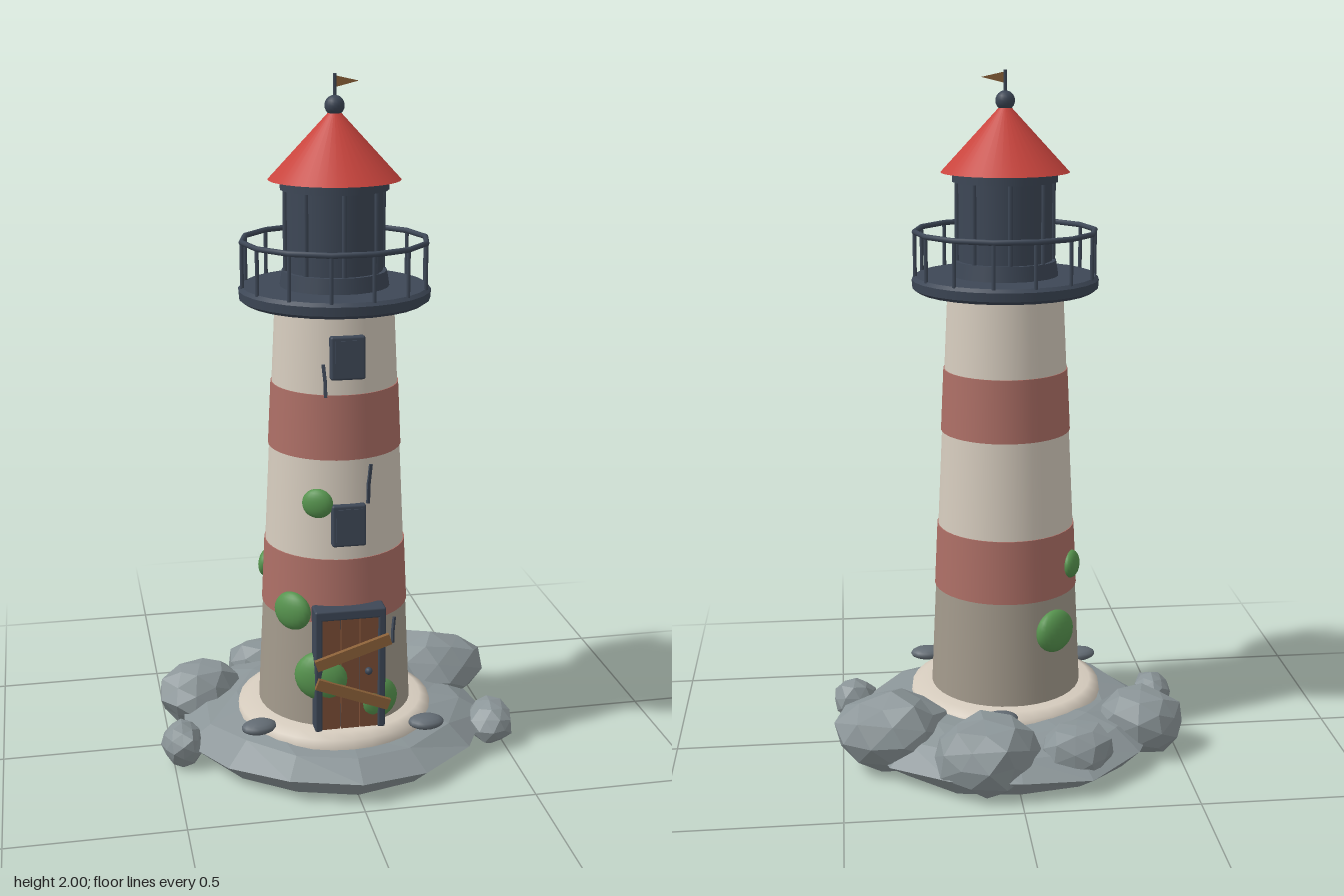
import * as THREE from 'three';
import { mergeVertices } from 'three/addons/utils/BufferGeometryUtils.js';
import { RoundedBoxGeometry } from 'three/addons/geometries/RoundedBoxGeometry.js';

const paint = (name, color, extra = {}) => {
  const m = new THREE.MeshStandardMaterial({ color, ...extra });
  m.name = name;
  return m;
};

export function createModel() {
  const mat = {
    cream: paint('cream plaster', 0xd6ccbe),
    base: paint('weathered plaster', 0xa39a8c),
    band: paint('faded red band', 0xad6f66),
    red: paint('roof red', 0xc9443d),
    navy: paint('dark iron', 0x3d4756),
    rock: paint('grey rock', 0x8b9598, { flatShading: true }),
    stone: paint('dark pebble', 0x626b73),
    green: paint('ivy green', 0x56934e),
    door: paint('door wood', 0x7a4d35),
    plank: paint('plank wood', 0x8a6038, { side: THREE.DoubleSide }),
  };
  const model = new THREE.Group();
  model.name = 'lighthouse';
  const tower = new THREE.Group();
  tower.name = 'tower';
  tower.position.set(-0.005, 0, 0.067);
  model.add(tower);

  const add = (parent, name, geo, material, x = 0, y = 0, z = 0) => {
    const m = new THREE.Mesh(geo, material);
    m.name = name;
    m.position.set(x, y, z);
    parent.add(m);
    return m;
  };
  const lathe = (pts, seg) =>
    new THREE.LatheGeometry(pts.map(p => new THREE.Vector2(p[0], p[1])), seg);
  const wallR = y => 0.235 - 0.048 * y;
  let seed = 7;
  const rand = () => (seed = (seed * 16807) % 2147483647) / 2147483647;

  // Island: faceted rings with uneven rims
  const rings = [[0.001, 0], [0.4, 0], [0.465, 0.06], [0.39, 0.11], [0.29, 0.135], [0.001, 0.14]];
  const island = lathe(rings, 14);
  const ip = island.attributes.position;
  for (let i = 0; i < ip.count; i++) {
    const ring = i % rings.length, k = Math.floor(i / rings.length) % 14;
    if (ring === 0 || ring === 5) continue;
    const s = 1 + 0.022 * Math.sin(k * 2.3 + ring * 0.7);
    ip.setXYZ(i, ip.getX(i) * s,
      ip.getY(i) + (ring > 1 ? 0.01 * Math.sin(k * 1.9 + ring) : 0), ip.getZ(i) * s);
  }
  add(model, 'island', island, mat.rock);

  // Boulders: x, z, half sizes in x and z, height
  const boulders = [
    [-0.39, -0.145, 0.135, 0.113, 0.195], [-0.17, -0.32, 0.115, 0.09, 0.18],
    [0.1, -0.34, 0.163, 0.133, 0.215], [0.355, -0.16, 0.17, 0.138, 0.225],
    [-0.475, 0.118, 0.062, 0.08, 0.13], [0.46, 0.155, 0.074, 0.085, 0.13],
  ];
  for (const [x, z, rx, rz, h] of boulders) {
    let g = new THREE.IcosahedronGeometry(1, 1);
    g.deleteAttribute('normal');
    g.deleteAttribute('uv');
    g = mergeVertices(g);
    const p = g.attributes.position;
    for (let i = 0; i < p.count; i++) {
      const s = 0.86 + 0.2 * rand();
      p.setXYZ(i, p.getX(i) * s, Math.max(p.getY(i) * s, -0.9), p.getZ(i) * s);
    }
    g.rotateY(rand() * 6);
    g.scale(rx, h * 0.53, rz);
    g.computeVertexNormals();
    add(model, 'boulder', g, mat.rock, x, h * 0.49, z);
  }

  // Flat pebbles
  for (const [x, z, a] of [[-0.26, 0.235, 0.2], [0.225, 0.295, 0], [0.04, -0.22, 0.1]]) {
    const m = add(model, 'pebble', new THREE.SphereGeometry(1, 14, 8), mat.stone, x, 0.155, z);
    m.scale.set(0.053, 0.02, 0.038);
    m.rotation.y = a;
  }

  // Sandy footing around the tower
  add(tower, 'footing',
    lathe([[0.292, 0.12], [0.288, 0.148], [0.26, 0.162], [0.2, 0.165]], 32), mat.cream);

  // Wall sections, bottom to top
  const walls = [
    ['lowerWall', 0.13, 0.48, mat.base, 0], ['lowerBand', 0.48, 0.67, mat.band, 0.003],
    ['middleWall', 0.67, 0.96, mat.cream, 0], ['upperBand', 0.96, 1.145, mat.band, 0.003],
    ['upperWall', 1.145, 1.4, mat.cream, 0],
  ];
  for (const [name, y0, y1, material, d] of walls)
    add(tower, name, new THREE.CylinderGeometry(wallR(y1) + d, wallR(y0) + d, y1 - y0, 40),
      material, 0, (y0 + y1) / 2);

  // Gallery deck and railing
  const n = 14;
  const deck = [[0.16, 1.37], [0.255, 1.375], [0.27, 1.385], [0.272, 1.41], [0.262, 1.42], [0.001, 1.42]];
  for (let i = 0; i < deck.length - 1; i++)
    add(tower, 'galleryDeck', lathe([deck[i], deck[i + 1]], 28), mat.navy);
  const rail = add(tower, 'handrail', new THREE.TorusGeometry(0.262, 0.008, 8, n), mat.navy, 0, 1.547);
  rail.rotation.x = Math.PI / 2;
  for (let i = 0; i < n; i++) {
    const a = (i / n) * Math.PI * 2;
    add(tower, 'railPost', new THREE.CylinderGeometry(0.0055, 0.0055, 0.13, 8), mat.navy,
      Math.cos(a) * 0.262, 1.482, Math.sin(a) * 0.262);
  }

  // Lantern room with rings and mullions
  add(tower, 'lanternGlass', new THREE.CylinderGeometry(0.136, 0.136, 0.3, 24), mat.navy, 0, 1.56);
  add(tower, 'lanternSill', new THREE.CylinderGeometry(0.148, 0.155, 0.045, 24), mat.navy, 0, 1.441);
  add(tower, 'lanternHead', new THREE.CylinderGeometry(0.152, 0.152, 0.025, 24), mat.navy, 0, 1.701);
  for (let i = 0; i < 8; i++) {
    const a = (i / 8) * Math.PI * 2;
    add(tower, 'mullion', new THREE.CylinderGeometry(0.007, 0.007, 0.27, 8), mat.navy,
      Math.cos(a) * 0.139, 1.57, Math.sin(a) * 0.139);
  }

  // Roof, finial and pennant
  add(tower, 'roof', new THREE.ConeGeometry(0.185, 0.2, 40), mat.red, 0, 1.815);
  add(tower, 'finialBall', new THREE.SphereGeometry(0.028, 18, 12), mat.navy, 0, 1.915);
  add(tower, 'flagPole', new THREE.CylinderGeometry(0.005, 0.005, 0.09, 8), mat.navy, 0, 1.955);
  const pennant = new THREE.Shape();
  pennant.moveTo(0, 1.995);
  pennant.lineTo(0.068, 1.98);
  pennant.lineTo(0, 1.963);
  add(tower, 'pennant', new THREE.ShapeGeometry(pennant), mat.plank);

  // Windows: frame and pane leaning with the wall
  for (const y of [0.772, 1.25]) {
    const w = new THREE.Group();
    w.name = 'window';
    w.position.set(0.002, y, wallR(y));
    w.rotation.x = -0.048;
    tower.add(w);
    add(w, 'windowFrame', new RoundedBoxGeometry(0.098, 0.122, 0.03, 2, 0.007), mat.navy);
    add(w, 'windowPane', new THREE.BoxGeometry(0.074, 0.098, 0.004), mat.navy, 0, 0, 0.016);
  }

  // Door with frame, boards and knob
  for (const s of [-1, 1])
    add(tower, 'doorJamb', new RoundedBoxGeometry(0.022, 0.37, 0.06, 2, 0.006), mat.navy, s * 0.092, 0.345, 0.217);
  add(tower, 'doorLintel', new RoundedBoxGeometry(0.206, 0.03, 0.06, 2, 0.006), mat.navy, 0, 0.518, 0.217);
  add(tower, 'doorBack', new THREE.BoxGeometry(0.17, 0.35, 0.04), mat.navy, 0, 0.335, 0.21);
  for (let i = -1; i <= 1; i++)
    add(tower, 'doorBoard', new THREE.BoxGeometry(0.052, 0.34, 0.012), mat.door, i * 0.055, 0.333, 0.234);
  add(tower, 'doorKnob', new THREE.SphereGeometry(0.011, 12, 8), mat.navy, 0.053, 0.34, 0.245);

  // Planks nailed across the door
  for (const [y, a] of [[0.408, 0.31], [0.278, -0.37]]) {
    const m = add(tower, 'crossPlank', new THREE.BoxGeometry(0.225, 0.032, 0.014), mat.plank, 0.005, y, 0.258);
    m.rotation.z = a;
  }

  // Ivy clumps and cracks sit on the wall at an angle from the front
  const onWall = (m, a, y, out) => {
    const r = wallR(y) + out;
    m.position.set(Math.sin(a) * r, y, Math.cos(a) * r);
    m.rotation.set(-0.048, a, 0, 'YXZ');
    return m;
  };
  const ivy = [
    [-0.43, 0.835, 0.045], [-0.78, 0.505, 0.06], [-0.36, 0.32, 0.078],
    [0.41, 0.235, 0.063], [-2.52, 0.38, 0.068], [-2.06, 0.56, 0.044],
  ];
  for (const [a, y, r] of ivy)
    onWall(add(tower, 'ivy', new THREE.SphereGeometry(1, 20, 14), mat.green), a, y, 0.004)
      .scale.set(r, r * 0.94, r * 0.5);

  for (const [a, y, h, tilt] of [[-0.34, 1.185, 0.09, 0.08], [0.33, 0.885, 0.11, -0.1], [0.72, 0.425, 0.075, -0.15]]) {
    const crack = onWall(new THREE.Group(), a, y, 0.002);
    crack.name = 'crack';
    tower.add(crack);
    for (const s of [-1, 1])
      add(crack, 'crackPart', new THREE.BoxGeometry(0.009, h * 0.54, 0.008), mat.navy,
        -s * tilt * h * 0.25, s * h * 0.24, 0).rotation.z = tilt * (1 + s * 0.5);
  }
  return model;
}
